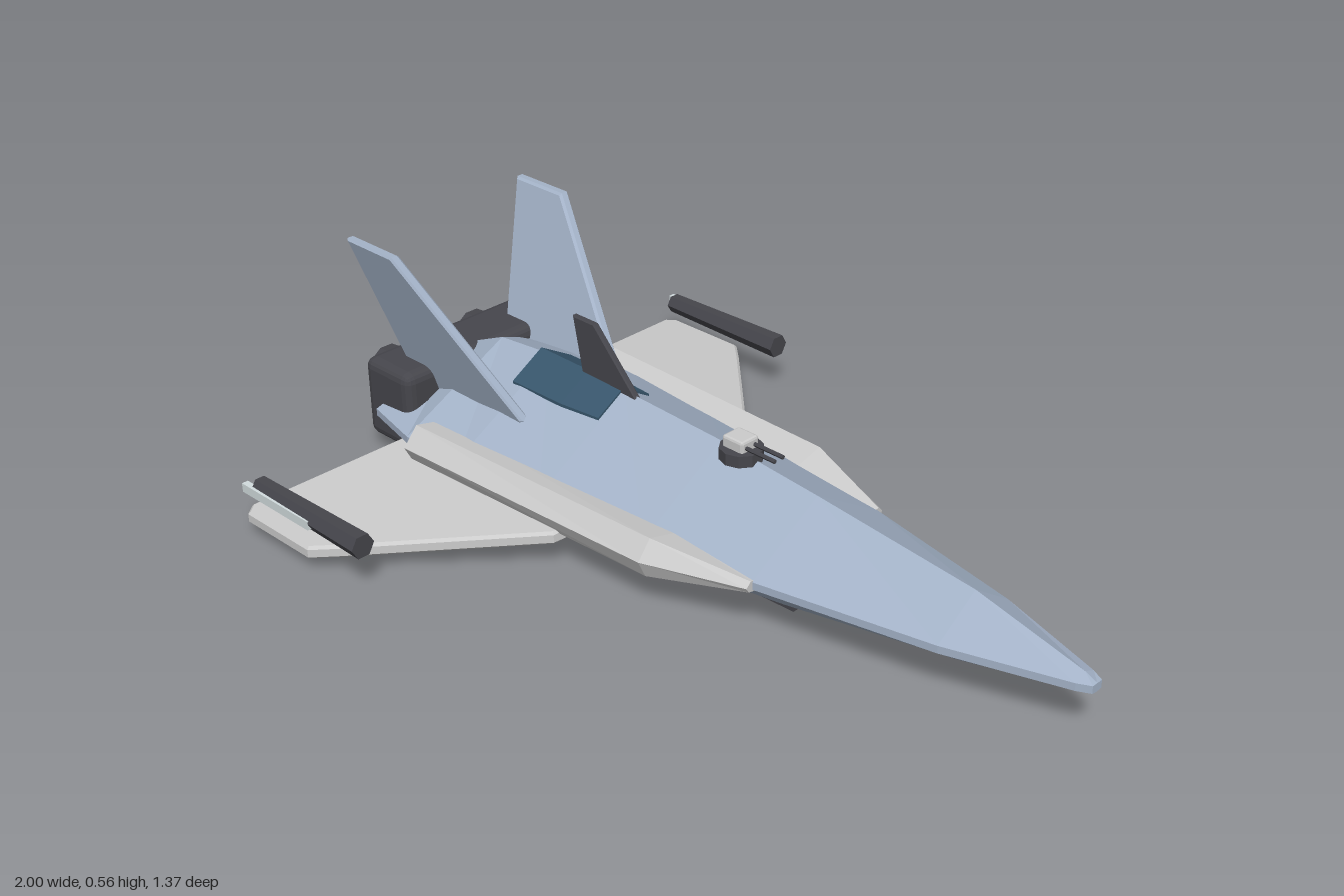
import * as THREE from 'three';
import { RoundedBoxGeometry } from 'three/addons/geometries/RoundedBoxGeometry.js';

const mat = (color) => new THREE.MeshStandardMaterial({ color, flatShading: true });
const hullBlue = mat(0xa4b3c8);
const lightGrey = mat(0xc4c4c4);
const dark = mat(0x46464c);
const glass = mat(0x38566c);
const steel = mat(0x9a9c9e);
const pale = mat(0xd2dcde);

// Skin closed rings ordered from -x to +x; each ring runs top -> +z -> bottom -> -z.
function loft(rings) {
  const pos = [];
  const tri = (a, b, c) => pos.push(...a, ...b, ...c);
  const n = rings[0].length;
  for (let i = 0; i < rings.length - 1; i++) {
    for (let j = 0; j < n; j++) {
      const k = (j + 1) % n;
      const a = rings[i][j], b = rings[i + 1][j], c = rings[i + 1][k], d = rings[i][k];
      tri(a, d, c);
      tri(a, c, b);
    }
  }
  const first = rings[0], last = rings[rings.length - 1];
  for (let j = 1; j < n - 1; j++) {
    tri(first[0], first[j + 1], first[j]);
    tri(last[0], last[j], last[j + 1]);
  }
  const g = new THREE.BufferGeometry();
  g.setAttribute('position', new THREE.Float32BufferAttribute(pos, 3));
  g.computeVertexNormals();
  return g;
}

// Reflect rings to the other side, keeping the winding.
const mirrored = (rings, side) => side > 0 ? rings
  : rings.map((r) => r.map(([x, y, z]) => [x, y, -z]).reverse());

// Flat plate from an outline, centred on its thickness, with a small edge bevel.
function plate(points, thickness) {
  const bevel = thickness * 0.2;
  const g = new THREE.ExtrudeGeometry(new THREE.Shape(points.map((p) => new THREE.Vector2(...p))), {
    depth: thickness - 2 * bevel, bevelEnabled: true, bevelSegments: 1,
    bevelThickness: bevel, bevelSize: bevel, bevelOffset: -bevel,
  });
  return g.translate(0, 0, -thickness / 2 + bevel);
}

// Move every vertex by a rule.
function reshape(g, rule) {
  const p = g.attributes.position, v = new THREE.Vector3();
  for (let i = 0; i < p.count; i++) {
    rule(v.fromBufferAttribute(p, i));
    p.setXYZ(i, v.x, v.y, v.z);
  }
  g.computeVertexNormals();
  return g;
}

// Cylinder lying along x; front radius at +x.
const rod = (front, rear, length, sides) =>
  new THREE.CylinderGeometry(front, rear, length, sides).rotateZ(-Math.PI / 2);

export function createModel() {
  const model = new THREE.Group();
  const add = (name, geometry, material, x = 0, y = 0, z = 0) => {
    const m = new THREE.Mesh(geometry, material);
    m.name = name;
    m.position.set(x, y, z);
    model.add(m);
    return m;
  };

  // Hull: x, half width, ridge height, belly height, belly half width
  const hull = [
    [-0.88, 0.265, 0.22, 0.04, 0.15],
    [-0.72, 0.302, 0.29, 0.02, 0.16],
    [-0.55, 0.295, 0.305, 0.017, 0.16],
    [-0.3, 0.27, 0.3, 0.017, 0.15],
    [0, 0.24, 0.287, 0.02, 0.13],
    [0.28, 0.2, 0.262, 0.037, 0.1],
    [0.7, 0.115, 0.218, 0.075, 0.05],
    [0.97, 0.03, 0.153, 0.112, 0.012],
    [1, 0.015, 0.14, 0.12, 0.006],
  ];
  add('hull', loft(hull.map(([x, w, top, low, bw]) => [
    [x, top, 0], [x, 0.14, w], [x, 0.122, w], [x, low, bw],
    [x, low, -bw], [x, 0.122, -w], [x, 0.14, -w],
  ])), hullBlue);

  // Dark roof panel following the ridge
  add('roofPanel', loft([[-0.58, 0.311, 0.092], [-0.42, 0.309, 0.09], [-0.305, 0.305, 0.08]].map(([x, y, w]) => [
    [x, y, 0], [x, y - 0.58 * w, w], [x, y - 0.58 * w - 0.03, w],
    [x, y - 0.58 * w - 0.03, -w], [x, y - 0.58 * w, -w],
  ])), glass);

  // Tapered belly plate
  add('bellyPlate', loft([[-0.78, 0.11], [0.28, 0.07]].map(([x, w]) => [
    [x, 0.037, -w], [x, 0.037, w], [x, 0.004, w], [x, 0.004, -w],
  ])), dark);

  // Engine block and nozzles
  add('engineBlock', new RoundedBoxGeometry(0.165, 0.205, 0.49, 2, 0.025), dark, -0.862, 0.147, 0);
  for (const z of [-0.135, 0, 0.135]) {
    add('nozzle', rod(0.064, 0.057, 0.08, 10), dark, -0.958, 0.165, z);
    add('nozzleGlow', rod(0.048, 0.048, 0.006, 10), steel, -0.997, 0.165, z);
  }

  // Dorsal blade
  add('dorsalBlade', plate([[-0.46, 0.437], [-0.39, 0.437], [-0.25, 0.285], [-0.43, 0.285]], 0.016), dark);

  // Turret with twin barrels
  add('turretBase', rod(0.05, 0.05, 0.028, 10).rotateZ(Math.PI / 2), dark, 0.06, 0.283, 0);
  add('turretHead', new RoundedBoxGeometry(0.06, 0.032, 0.054, 1, 0.006), lightGrey, 0.057, 0.307, 0);
  for (const z of [-0.013, 0.013]) add('turretBarrel', rod(0.005, 0.005, 0.1, 6), dark, 0.12, 0.306, z);

  for (const s of [1, -1]) {
    const side = s > 0 ? 'right' : 'left';

    // Side sponson: x, inner z, outer z, centre height, half height
    const sponson = [
      [-0.69, 0.21, 0.335, 0.13, 0.05],
      [0.05, 0.195, 0.305, 0.13, 0.05],
      [0.28, 0.175, 0.218, 0.13, 0.014],
    ].map(([x, a, b, y, h]) => {
      const w = b - a;
      return [
        [x, y + h * 0.6, a], [x, y + h, a + w * 0.68], [x, y + h * 0.1, b],
        [x, y - h * 0.75, a + w * 0.82], [x, y - h, a + w * 0.4], [x, y - h * 0.5, a],
      ];
    });
    add(side + 'Sponson', loft(mirrored(sponson, s)), lightGrey);

    // Drooping wing
    const outline = [[-0.2, 0.26], [-0.21, 0.31], [-0.545, 0.635], [-0.6, 0.685], [-0.82, 0.685], [-0.84, 0.66], [-0.77, 0.2], [-0.3, 0.2]];
    const wing = plate(outline.map(([x, z]) => [x, z * s]), 0.032).rotateX(Math.PI / 2);
    add(side + 'Wing', reshape(wing, (v) => { v.y += 0.093 - (Math.abs(v.z) - 0.22) * 0.1; }), lightGrey);

    // Pod above the wing tip
    add(side + 'TipPod', rod(0.03, 0.024, 0.37, 6), dark, -0.615, 0.127, 0.657 * s);
    add(side + 'PodRail', new THREE.BoxGeometry(0.24, 0.022, 0.016), pale, -0.71, 0.122, 0.677 * s);

    // Tail fin leaning outward
    const fin = plate([[-0.93, 0.567], [-0.77, 0.567], [-0.475, 0.215], [-0.5, 0.18], [-0.865, 0.18]], 0.026);
    add(side + 'TailFin', reshape(fin, (v) => { v.z += s * (0.15 + (v.y - 0.22) * 0.315); }), hullBlue);
  }

  return model;
}
